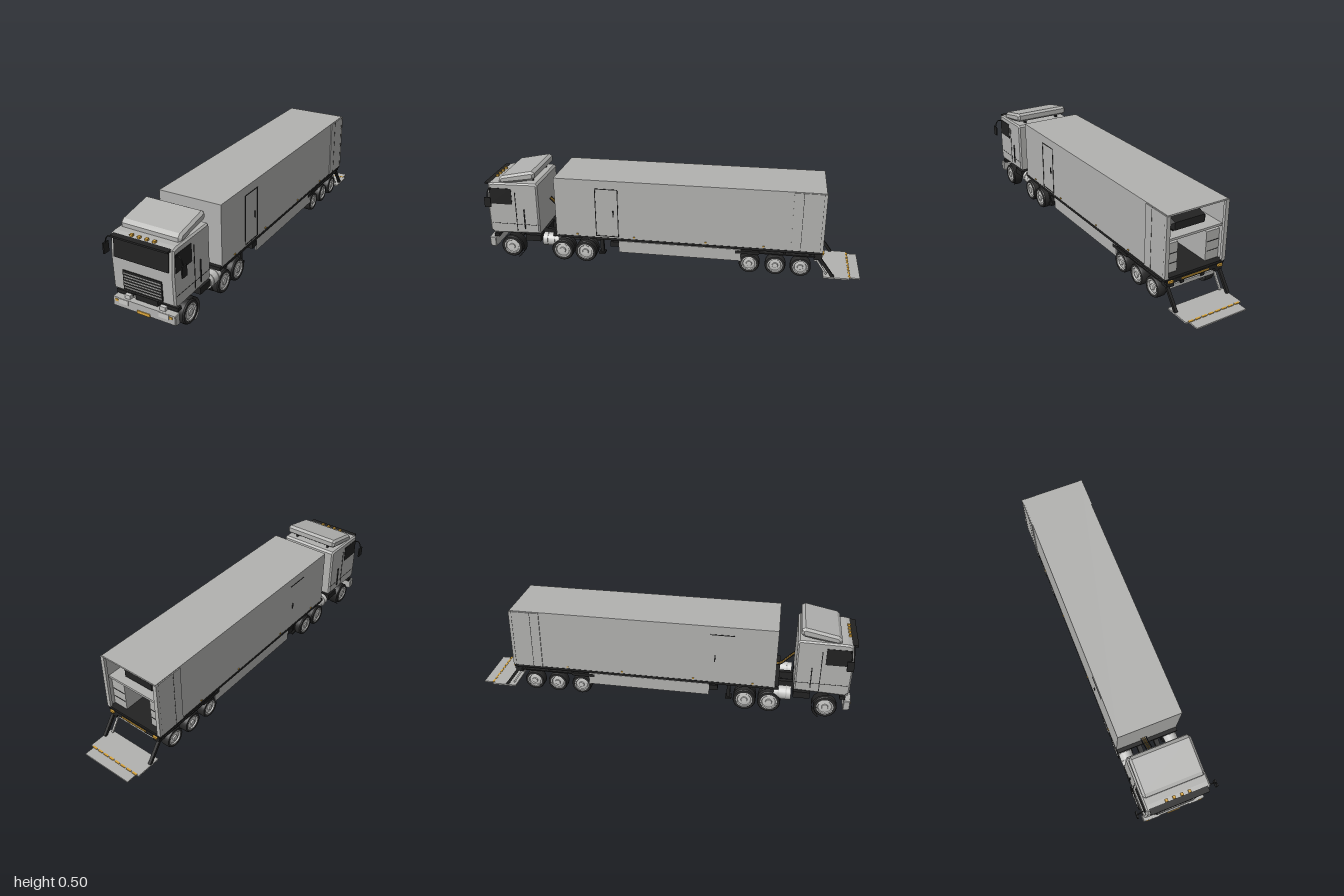
import * as THREE from 'three';
import { toCreasedNormals } from 'three/addons/utils/BufferGeometryUtils.js';

const mat = (name, color, extra = {}) => Object.assign(new THREE.MeshStandardMaterial({ color, ...extra }), { name });

export function createModel() {
  const body = mat('body grey', 0xb2b2b0);
  const light = mat('light metal', 0xc8c8c6);
  const black = mat('black', 0x222222);
  const rubber = mat('tyre rubber', 0x2a2a2a);
  const amber = mat('amber', 0xd9a53c);
  const arch = mat('mudguard black', 0x222222, { side: THREE.DoubleSide });

  const truck = new THREE.Group();
  truck.name = 'truckAndTrailer';
  const groups = {};
  for (const n of ['cab', 'tractorChassis', 'trailer', 'tailLift', 'wheels']) {
    groups[n] = new THREE.Group();
    groups[n].name = n;
    truck.add(groups[n]);
  }
  const { cab, tractorChassis, trailer, tailLift, wheels } = groups;

  const add = (parent, name, geo, m) => {
    const mesh = new THREE.Mesh(geo, m);
    mesh.name = name;
    parent.add(mesh);
    return mesh;
  };
  // Box given by its limits on each axis
  const box = (parent, name, m, x0, x1, y0, y1, z0, z1) => {
    const mesh = add(parent, name, new THREE.BoxGeometry(Math.abs(x1 - x0), y1 - y0, z1 - z0), m);
    mesh.position.set((x0 + x1) / 2, (y0 + y1) / 2, (z0 + z1) / 2);
    return mesh;
  };
  const pair = (parent, name, m, x0, x1, ...r) => [1, -1].forEach(s => box(parent, name, m, s * x0, s * x1, ...r));
  // Side profile of [z, y] points extruded across the width with bevelled flanks
  const sideProfile = (parent, name, m, pts, half, bevel) => {
    const shape = new THREE.Shape(pts.map(p => new THREE.Vector2(p[0], p[1])));
    const depth = 2 * (half - bevel);
    const geo = new THREE.ExtrudeGeometry(shape, {
      depth, bevelEnabled: bevel > 0, bevelSize: bevel, bevelThickness: bevel, bevelOffset: -bevel, bevelSegments: 1,
    });
    geo.translate(0, 0, -depth / 2).rotateY(-Math.PI / 2);
    return add(parent, name, geo, m);
  };
  const tube = (parent, name, m, pts, r) => add(parent, name,
    new THREE.TubeGeometry(new THREE.CatmullRomCurve3(pts.map(p => new THREE.Vector3(...p))), 16, r, 6), m);
  // Thin rectangular outline on a flank
  const outline = (parent, name, s, x, y0, y1, z0, z1, t = 0.004) => {
    const a = s * (x - 0.002), b = s * (x + 0.002);
    box(parent, name, black, a, b, y1 - t, y1, z0, z1);
    box(parent, name, black, a, b, y0, y0 + t, z0, z1);
    box(parent, name, black, a, b, y0, y1, z0, z0 + t);
    box(parent, name, black, a, b, y0, y1, z1 - t, z1);
  };

  // Cab shell and sloped roof deflector
  sideProfile(cab, 'cabShell', body, [[0.705, 0.15], [0.965, 0.14], [0.985, 0.158], [0.988, 0.32],
    [0.978, 0.425], [0.95, 0.432], [0.715, 0.436], [0.705, 0.425]], 0.167, 0.008);
  sideProfile(cab, 'roofDeflector', body, [[0.718, 0.465], [0.735, 0.452], [0.90, 0.425], [0.918, 0.432],
    [0.918, 0.452], [0.902, 0.468], [0.735, 0.502], [0.718, 0.492]], 0.16, 0.012);
  pair(cab, 'deflectorStrut', black, 0.10, 0.11, 0.43, 0.46, 0.74, 0.76);

  // Windscreen, visor, marker lights
  const screen = box(cab, 'windscreen', black, -0.145, 0.145, 0.32, 0.414, 0.981, 0.989);
  screen.rotation.x = -0.09;
  box(cab, 'sunVisor', black, -0.152, 0.152, 0.418, 0.427, 0.965, 1.0);
  for (const x of [-0.06, -0.02, 0.02, 0.06]) box(cab, 'markerLight', amber, x - 0.007, x + 0.007, 0.43, 0.44, 0.955, 0.97);

  // Grille with slats
  box(cab, 'grille', black, -0.105, 0.105, 0.165, 0.264, 0.98, 0.991);
  for (let i = 0; i < 6; i++) box(cab, 'grilleSlat', light, -0.1, 0.1, 0.176 + i * 0.0145, 0.180 + i * 0.0145, 0.985, 0.994);

  // Side windows, door seams, handles and mirrors
  for (const s of [1, -1]) {
    box(cab, 'sideWindow', black, s * 0.164, s * 0.169, 0.313, 0.403, 0.85, 0.972);
    box(cab, 'doorSeam', black, s * 0.164, s * 0.1685, 0.16, 0.385, 0.829, 0.833);
    box(cab, 'grabHandle', black, s * 0.164, s * 0.172, 0.175, 0.29, 0.784, 0.789);
    box(cab, 'sillSeam', black, s * 0.164, s * 0.168, 0.199, 0.201, 0.71, 0.97);
    tube(cab, 'mirrorArm', black, [[s * 0.16, 0.393, 0.965], [s * 0.187, 0.4, 0.968],
      [s * 0.2, 0.385, 0.97], [s * 0.209, 0.35, 0.97]], 0.003);
    box(cab, 'mirror', black, s * 0.205, s * 0.212, 0.31, 0.364, 0.95, 0.985);
  }

  // Bumper with lamps and plate
  sideProfile(cab, 'bumper', body, [[0.962, 0.058], [0.985, 0.058], [0.996, 0.066], [0.996, 0.112], [0.962, 0.112]], 0.17, 0.003);
  pair(cab, 'headlampPanel', light, 0.083, 0.136, 0.086, 0.111, 0.99, 0.999);
  pair(cab, 'indicator', amber, 0.138, 0.155, 0.093, 0.104, 0.99, 0.999);
  box(cab, 'numberPlate', amber, -0.035, 0.035, 0.065, 0.08, 0.992, 1.0);

  // Tractor frame, coupling, tanks and mudguards
  pair(tractorChassis, 'frameRail', black, 0.035, 0.06, 0.095, 0.135, 0.4, 0.965);
  box(tractorChassis, 'engineTray', black, -0.06, 0.06, 0.1, 0.14, 0.7, 0.97);
  pair(tractorChassis, 'cabStep', black, 0.1, 0.165, 0.105, 0.14, 0.705, 0.79);
  pair(tractorChassis, 'cabMount', black, 0.08, 0.166, 0.118, 0.136, 0.94, 0.968);
  pair(tractorChassis, 'bumperBracket', light, 0.08, 0.11, 0.11, 0.132, 0.962, 0.985);
  const plate = add(tractorChassis, 'couplingPlate', new THREE.CylinderGeometry(0.08, 0.08, 0.014, 20), black);
  plate.position.set(0, 0.14, 0.52);
  for (const s of [1, -1]) {
    const tank = add(tractorChassis, 'fuelTank',
      toCreasedNormals(new THREE.CylinderGeometry(0.036, 0.036, 0.09, 20).rotateX(Math.PI / 2), 0.6), light);
    tank.position.set(s * 0.128, 0.108, 0.65);
    for (const z of [0.63, 0.67]) {
      const strap = add(tractorChassis, 'tankStrap', new THREE.CylinderGeometry(0.038, 0.038, 0.005, 20).rotateX(Math.PI / 2), body);
      strap.position.set(s * 0.128, 0.108, z);
    }
    const guard = add(tractorChassis, 'frontMudguard',
      new THREE.CylinderGeometry(0.07, 0.07, 0.05, 16, 1, true, 0, Math.PI * 0.9).rotateZ(Math.PI / 2).rotateX(-Math.PI / 2 + 0.15), arch);
    guard.position.set(s * 0.143, 0.063, 0.873);
    guard.rotation.x = 0;
  }
  [[-0.035, black], [-0.025, amber], [-0.015, amber], [-0.005, black]].forEach(([x, m]) =>
    tube(tractorChassis, 'airLine', m, [[x, 0.29, 0.70], [x, 0.255, 0.665], [x, 0.225, 0.635], [x, 0.215, 0.605]], 0.0025));

  // Hollow trailer box, open at the rear
  box(trailer, 'roof', body, -0.17, 0.17, 0.472, 0.48, -0.795, 0.61);
  box(trailer, 'frontWall', body, -0.17, 0.17, 0.157, 0.472, 0.60, 0.61);
  pair(trailer, 'sideWall', body, 0.162, 0.17, 0.157, 0.472, -0.795, 0.60);
  box(trailer, 'floor', black, -0.169, 0.169, 0.145, 0.162, -0.795, 0.63);
  pair(trailer, 'rearPost', body, 0.155, 0.176, 0.16, 0.476, -0.798, -0.783);
  for (const s of [1, -1]) {
    box(trailer, 'rearSidePanel', body, s * 0.169, s * 0.175, 0.16, 0.476, -0.783, -0.635);
    for (const z of [-0.685, -0.784]) box(trailer, 'panelSeam', black, s * 0.17, s * 0.1757, 0.16, 0.476, z, z + 0.002);
    box(trailer, 'lowerRail', black, s * 0.16, s * 0.172, 0.145, 0.158, -0.795, 0.6);
    box(trailer, 'doorHandle', black, s * 0.169, s * 0.174, 0.28, 0.315, 0.293, 0.298);
    for (const z of [0.49, 0.18, -0.2, -0.5]) box(trailer, 'sideMarker', amber, s * 0.169, s * 0.174, 0.166, 0.172, z, z + 0.01);
  }
  outline(trailer, 'doorOutline', 1, 0.17, 0.165, 0.435, 0.268, 0.392);
  box(trailer, 'doorOutline', black, -0.168, -0.172, 0.431, 0.435, 0.268, 0.392);

  // Interior: loft, lockers and the covered vehicle on the loft
  box(trailer, 'loft', body, -0.162, 0.162, 0.335, 0.347, -0.775, 0.6);
  box(trailer, 'lockerLeft', body, 0.08, 0.162, 0.162, 0.315, -0.76, 0.5);
  box(trailer, 'lockerRight', body, -0.085, -0.162, 0.162, 0.315, -0.76, 0.5);
  for (const y of [0.21, 0.26]) {
    box(trailer, 'drawerSeam', black, 0.085, 0.158, y, y + 0.002, -0.762, -0.759);
    box(trailer, 'drawerSeam', black, -0.09, -0.158, y, y + 0.002, -0.762, -0.759);
  }
  sideProfile(trailer, 'storedVehicle', black, [[-0.74, 0.36], [-0.72, 0.35], [-0.36, 0.35], [-0.34, 0.37], [-0.36, 0.39],
    [-0.45, 0.4], [-0.51, 0.435], [-0.62, 0.44], [-0.70, 0.41], [-0.74, 0.4]], 0.105, 0.02);

  // Trailer undercarriage
  pair(trailer, 'chassisBeam', black, 0.05, 0.07, 0.1, 0.146, -0.78, 0.38);
  for (let i = 0; i < 9; i++) box(trailer, 'crossMember', black, -0.16, 0.16, 0.125, 0.146, -0.74 + i * 0.13, -0.73 + i * 0.13);
  pair(trailer, 'sideSkirt', body, 0.158, 0.166, 0.075, 0.14, -0.38, 0.27);
  pair(trailer, 'toolBox', black, 0.13, 0.168, 0.107, 0.135, 0.27, 0.315);
  pair(trailer, 'landingLeg', black, 0.115, 0.135, 0.055, 0.146, 0.362, 0.38);
  pair(trailer, 'landingFoot', black, 0.105, 0.145, 0.045, 0.055, 0.355, 0.388);
  pair(trailer, 'axleGuardFront', black, 0.115, 0.168, 0.118, 0.134, -0.475, -0.35);
  pair(trailer, 'axleGuard', black, 0.115, 0.168, 0.125, 0.131, -0.76, -0.475);

  // Wheels: lathed tyre, stepped rim and hub cap facing outwards
  const addWheel = (s, z, r, width, outer) => {
    const w = new THREE.Group();
    w.name = 'wheel';
    const h = width / 2, k = r * 0.72;
    const prof = [[k, -h], [r * 0.93, -h], [r, -h * 0.7], [r, h * 0.7], [r * 0.93, h], [k, h], [k, -h]];
    const lathe = (p, n) => toCreasedNormals(new THREE.LatheGeometry(p.map(q => new THREE.Vector2(...q)), n), 0.6).rotateZ(-Math.PI / 2);
    add(w, 'tyre', lathe(prof, 28), rubber);
    add(w, 'rim', lathe([[0, -h * 0.5], [k, -h * 0.5], [k, h * 0.98], [k * 0.86, h * 1.02],
      [k * 0.78, h * 0.75], [k * 0.4, h * 0.85], [k * 0.35, h * 1.1], [0, h * 1.1]], 24), light);
    w.rotation.y = s > 0 ? 0 : Math.PI;
    w.position.set(s * (outer - h), 0.063, z);
    wheels.add(w);
  };
  const axle = (z) => {
    const a = add(wheels, 'axle', new THREE.CylinderGeometry(0.012, 0.012, 0.26, 10).rotateZ(Math.PI / 2), black);
    a.position.set(0, 0.063, z);
  };
  for (const z of [0.873, 0.585, 0.457, -0.425, -0.56, -0.69]) {
    axle(z);
    for (const s of [1, -1]) {
      if (z < 0) addWheel(s, z, 0.054, 0.05, 0.166);
      else addWheel(s, z, 0.06, 0.04, 0.167);
      if (z > 0 && z < 0.7) addWheel(s, z, 0.06, 0.038, 0.124);
    }
  }

  // Tail lift: lowered platform, sloping arms, rear bar and lamps
  box(tailLift, 'platform', body, -0.16, 0.16, 0.006, 0.014, -0.945, -0.81);
  box(tailLift, 'platformLip', body, -0.142, 0.142, 0.004, 0.011, -1.0, -0.945);
  for (let i = 0; i < 8; i++) box(tailLift, 'warningStripe', amber, -0.148 + i * 0.038, -0.12 + i * 0.038, 0.012, 0.0155, -0.95, -0.94);
  for (const s of [1, -1]) {
    const arm = (name, m, z0, y0, z1, y1, x, t) => {
      const bar = add(tailLift, name, new THREE.BoxGeometry(t, t, Math.hypot(z1 - z0, y1 - y0)), m);
      bar.position.set(s * x, (y0 + y1) / 2, (z0 + z1) / 2);
      bar.rotation.x = -Math.atan2(y1 - y0, z1 - z0);
    };
    arm('liftArm', black, -0.86, 0.014, -0.768, 0.14, 0.152, 0.015);
    arm('liftRam', light, -0.825, 0.02, -0.755, 0.125, 0.135, 0.009);
    box(tailLift, 'rearLamp', amber, s * 0.13, s * 0.155, 0.137, 0.148, -0.806, -0.795);
    box(tailLift, 'liftMount', black, s * 0.12, s * 0.16, 0.11, 0.146, -0.795, -0.755);
  }
  box(tailLift, 'rearBar', body, -0.13, 0.13, 0.085, 0.105, -0.775, -0.76);
  box(tailLift, 'rearSillStripe', amber, -0.08, 0.08, 0.135, 0.143, -0.801, -0.794);
  box(tailLift, 'rearSill', black, -0.165, 0.165, 0.128, 0.15, -0.797, -0.78);

  return truck;
}
